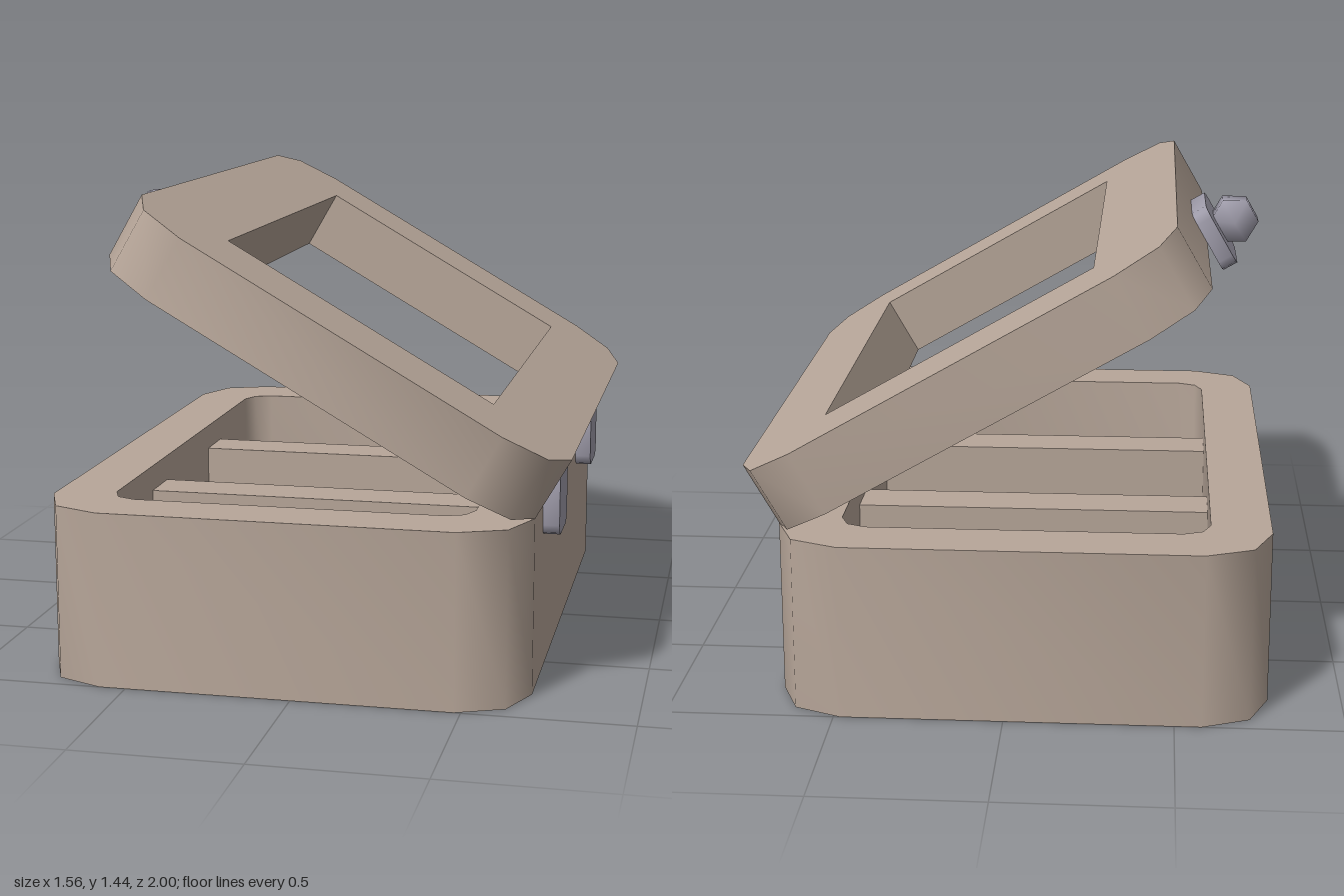
import * as THREE from 'three';
import { toCreasedNormals } from 'three/addons/utils/BufferGeometryUtils.js';

const LENGTH = 1.46, WIDTH = 2, HEIGHT = 0.53, LID = 0.205, WALL = 0.18, FLOOR = 0.12;

// Points of a rectangle whose corners are rounded with two segments each
function roundedRect(w, h, r) {
  const points = [];
  for (let corner = 0; corner < 4; corner++) {
    const sx = corner === 0 || corner === 3 ? 1 : -1;
    const sy = corner < 2 ? 1 : -1;
    for (let i = 0; i <= 2; i++) {
      const a = (corner + i / 2) * Math.PI / 2;
      points.push(new THREE.Vector2(
        sx * (w / 2 - r) + r * Math.cos(a), sy * (h / 2 - r) + r * Math.sin(a)));
    }
  }
  return points;
}

function rectangle(w, h) {
  return [[1, 1], [-1, 1], [-1, -1], [1, -1]].map(([x, y]) => new THREE.Vector2(x * w / 2, y * h / 2));
}

// Extruded outline with smooth corners and sharp rims
function slab(outline, depth, hole) {
  const shape = new THREE.Shape(outline);
  if (hole) shape.holes.push(new THREE.Path(hole));
  const g = new THREE.ExtrudeGeometry(shape, { depth, bevelEnabled: false });
  return toCreasedNormals(g, 1);
}

export function createModel() {
  const model = new THREE.Group();
  const wood = new THREE.MeshStandardMaterial({ color: 0xb7a699 });
  wood.name = 'wood';
  const metal = new THREE.MeshStandardMaterial({ color: 0x9e9ba9 });
  metal.name = 'metal';

  const add = (parent, name, geometry, material, x = 0, y = 0, z = 0) => {
    const mesh = new THREE.Mesh(geometry, material);
    mesh.name = name;
    mesh.position.set(x, y, z);
    parent.add(mesh);
    return mesh;
  };

  // Open box with inner floor
  const base = new THREE.Group();
  base.name = 'base';
  base.position.x = -0.05;
  model.add(base);
  const innerL = LENGTH - 2 * WALL, innerW = WIDTH - 2 * WALL;
  const cavity = roundedRect(innerL, innerW, 0.08);
  add(base, 'walls', slab(roundedRect(LENGTH, WIDTH, 0.2), HEIGHT, cavity).rotateX(-Math.PI / 2), wood);
  add(base, 'floor', slab(cavity, FLOOR).rotateX(-Math.PI / 2), wood);

  // Two dividers across the compartment
  const dividerTop = 0.45;
  for (const z of [-0.32, 0.315]) {
    add(base, 'divider', new THREE.BoxGeometry(innerL, dividerTop - FLOOR, 0.155), wood,
      0, (dividerTop + FLOOR) / 2, z);
  }

  // Hinge plates on the hinged side
  for (const z of [-0.4475, 0.5025]) {
    add(model, 'hinge', slab(roundedRect(0.205, 0.205, 0.035), 0.05).rotateY(Math.PI / 2), metal, 0.68, 0.5275, z);
  }

  // Raised lid frame, pivoting on the top edge of the base
  const lid = new THREE.Group();
  lid.name = 'lid';
  lid.position.set(0.68, HEIGHT, 0);
  lid.rotation.z = -Math.PI / 6;
  model.add(lid);
  add(lid, 'lidFrame',
    slab(roundedRect(LENGTH, WIDTH, 0.2), LID, rectangle(0.912, 1.45)).rotateX(-Math.PI / 2),
    wood, -LENGTH / 2);

  // Latch plate and knob on the lid's free edge
  add(lid, 'latchPlate', slab(roundedRect(0.31, 0.207, 0.035), 0.05).rotateY(Math.PI / 2), metal,
    -LENGTH - 0.05, -0.003, 0);
  add(lid, 'knob', new THREE.SphereGeometry(0.088, 6, 3).rotateX(Math.PI / 2).rotateZ(Math.PI / 6), metal,
    -LENGTH - 0.1, 0, 0);

  return model;
}
